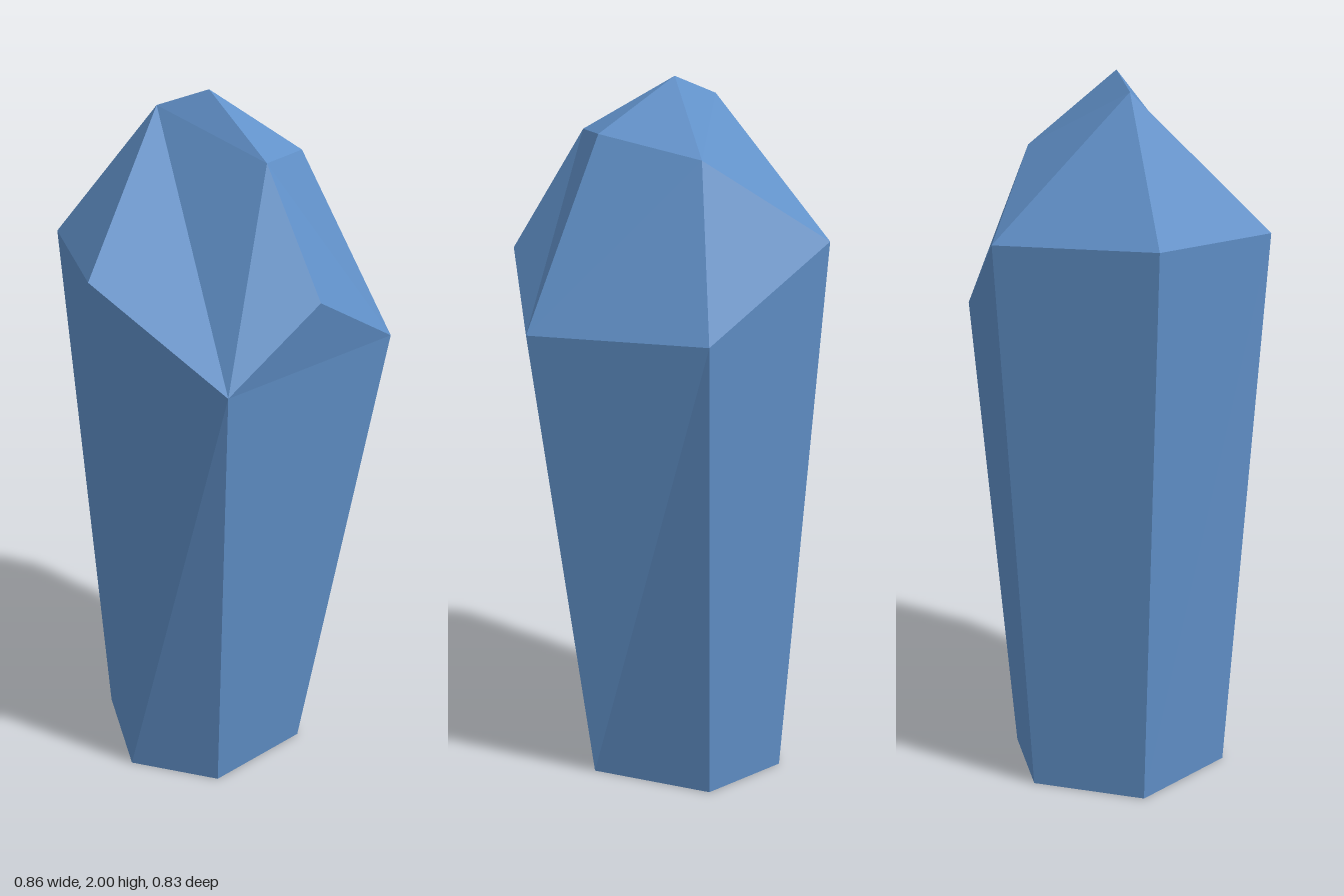
import * as THREE from 'three';

// Corner points of the crystal
const P = {
  // base ring
  a: [-0.33, 0, -0.04], b: [-0.2, 0, 0.2], c: [0.13, 0, 0.225],
  d: [0.3, 0, -0.09], e: [0.168, 0, -0.325], f: [-0.16, 0, -0.325],
  // shoulder ring
  A: [-0.43, 1.58, -0.035], B: [-0.31, 1.34, 0.345], C: [0.265, 1.36, 0.4],
  D: [0.43, 1.35, -0.055], E: [0.225, 1.58, -0.415], F: [-0.215, 1.58, -0.415],
  // tip
  G: [-0.045, 1.54, 0.412], P: [0, 2, -0.03], Q: [-0.07, 1.95, -0.155],
  R: [0.24, 1.8, -0.065], S: [0.12, 1.86, 0.19], T: [-0.04, 1.86, 0.215],
};
const inside = new THREE.Vector3(0, 1, -0.02);

// Fans each facet into triangles and turns them outward
function facets(name, list, material) {
  const pos = [];
  for (const face of list) {
    const v = [...face].map((k) => new THREE.Vector3(...P[k]));
    for (let i = 1; i < v.length - 1; i++) {
      const tri = [v[0], v[i], v[i + 1]];
      const n = tri[1].clone().sub(tri[0]).cross(tri[2].clone().sub(tri[0]));
      if (n.dot(tri[0].clone().sub(inside)) < 0) tri.reverse();
      tri.forEach((p) => pos.push(p.x, p.y, p.z));
    }
  }
  const g = new THREE.BufferGeometry();
  g.setAttribute('position', new THREE.Float32BufferAttribute(pos, 3));
  g.computeVertexNormals();
  const mesh = new THREE.Mesh(g, material);
  mesh.name = name;
  return mesh;
}

export function createModel() {
  const group = new THREE.Group();
  group.name = 'crystal';
  const blue = new THREE.MeshStandardMaterial({ color: 0x6090c8, flatShading: true });
  blue.name = 'crystalBlue';

  // Six tapering sides
  const ring = 'abcdef';
  const sides = [...ring].map((k, i) => {
    const n = ring[(i + 1) % 6];
    return k + n + n.toUpperCase() + k.toUpperCase();
  });
  group.add(facets('shaft', sides, blue));
  group.add(facets('base', [ring], blue));

  // Irregular cut facets of the point
  group.add(facets('tip', [
    'EFQ', 'FAQ', 'QPRE', 'RED', 'RDC', 'RCS', 'PRS', 'PST',
    'TSCG', 'GCB', 'QAB', 'QBT', 'TBG', 'QTP',
  ], blue));
  return group;
}
